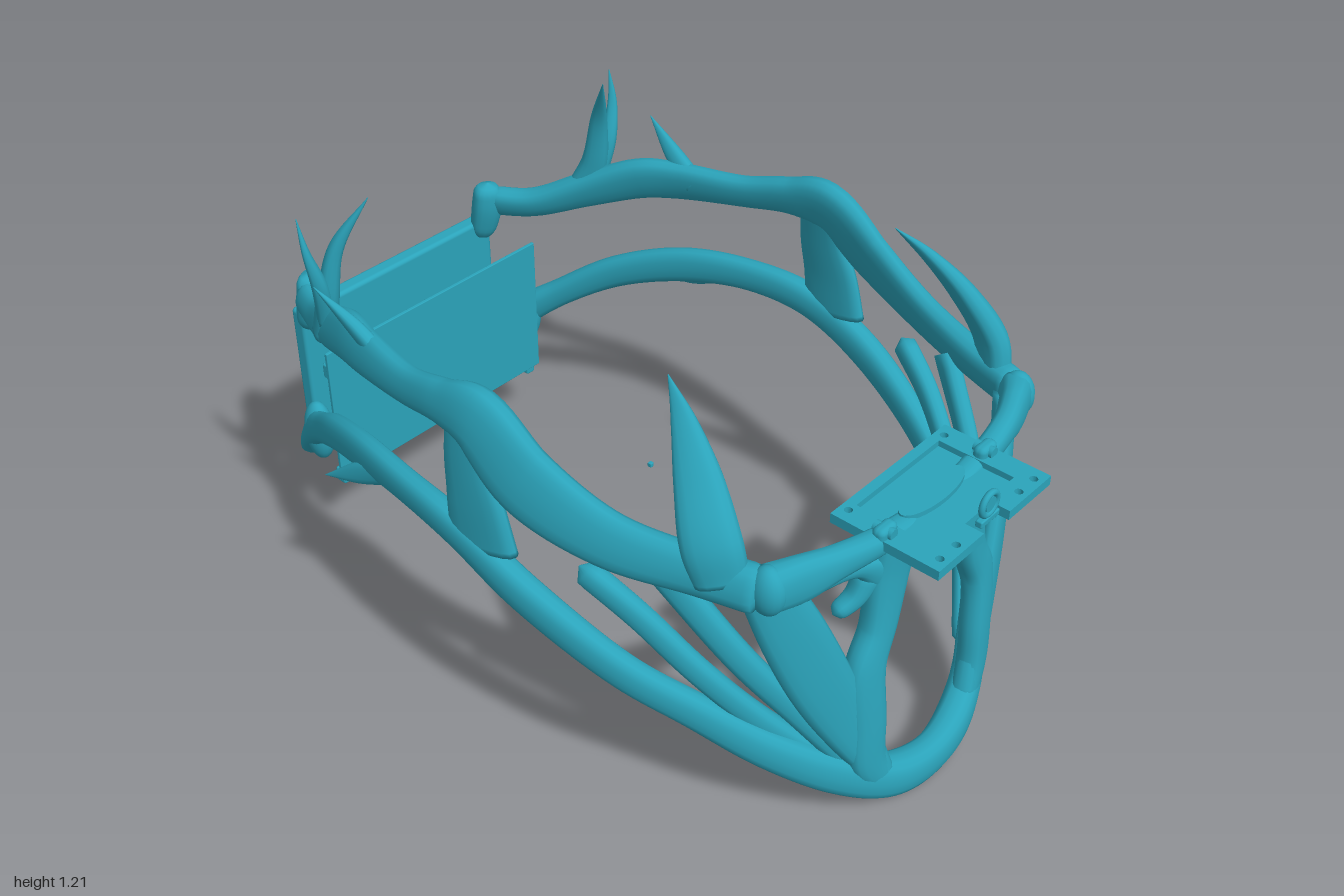
import * as THREE from 'three';
import { RoundedBoxGeometry } from 'three/addons/geometries/RoundedBoxGeometry.js';

const teal = new THREE.MeshStandardMaterial({ color: 0x2ba4bb });
teal.name = 'teal';

// Sweeps a soft oval along a path. Each point is [x, y, z, halfThickness, halfWidth];
// the thickness is measured outward from the middle of the frame, tilt leans the top
// inward and forward turns the broad face towards the front.
function sweep(points, { steps = 8, sides = 16, round = 0, tilt = 0, forward = 0.6 } = {}) {
  const path = new THREE.CatmullRomCurve3(points.map(p => new THREE.Vector3(p[0], p[1], p[2])));
  const size = new THREE.CatmullRomCurve3(points.map((p, i) => new THREE.Vector3(p[3], p[4], i * 0.05)));
  const rings = (points.length - 1) * steps;
  const pos = [], index = [];
  const length = path.getLength();
  for (let i = 0; i <= rings; i++) {
    const u = i / rings;
    const c = path.getPoint(u), t = path.getTangent(u), r = size.getPoint(u);
    const out = new THREE.Vector3(c.x, 0, c.z * forward).normalize();
    out.y = tilt;
    out.addScaledVector(t, -out.dot(t)).normalize();
    const across = t.clone().cross(out);
    const d = Math.min(1, Math.min(u, 1 - u) * length / (round || 1e-6));
    const k = round ? Math.max(0.05, Math.sqrt(1 - (1 - d) ** 2)) : 1;
    for (let j = 0; j < sides; j++) {
      const a = j / sides * Math.PI * 2, ca = Math.cos(a), sa = Math.sin(a);
      const p = c.clone()
        .addScaledVector(out, Math.sign(ca) * Math.abs(ca) ** 0.75 * r.x * k)
        .addScaledVector(across, Math.sign(sa) * Math.abs(sa) ** 0.85 * r.y * k);
      pos.push(p.x, p.y, p.z);
    }
  }
  for (let i = 0; i < rings; i++) for (let j = 0; j < sides; j++) {
    const a = i * sides + j, b = i * sides + (j + 1) % sides;
    index.push(a, b, a + sides, b, b + sides, a + sides);
  }
  // end caps
  for (const [ring, flip] of [[0, true], [rings, false]]) {
    const c = path.getPoint(ring / rings), n = pos.length / 3;
    pos.push(c.x, c.y, c.z);
    for (let j = 0; j < sides; j++) {
      const a = ring * sides + j, b = ring * sides + (j + 1) % sides;
      if (flip) index.push(n, b, a); else index.push(n, a, b);
    }
  }
  const g = new THREE.BufferGeometry();
  g.setAttribute('position', new THREE.Float32BufferAttribute(pos, 3));
  g.setIndex(index);
  g.computeVertexNormals();
  return g;
}

export function createModel() {
  const model = new THREE.Group();
  const add = (name, geometry, x = 0, y = 0, z = 0) => {
    const mesh = new THREE.Mesh(geometry, teal);
    mesh.name = name;
    mesh.position.set(x, y, z);
    model.add(mesh);
    return mesh;
  };
  const box = (name, w, h, d, x, y, z, r = 0.005) =>
    add(name, new RoundedBoxGeometry(w, h, d, 2, r), x, y, z);
  const mirror = (points, s) => points.map(([x, ...rest]) => [x * s, ...rest]);
  const pair = (name, points, options) => {
    for (const s of [1, -1]) add((s > 0 ? 'left ' : 'right ') + name, sweep(mirror(points, s), options));
  };
  const ball = (name, x, y, z, a, b, c) => {
    for (const s of [1, -1]) add(name, new THREE.SphereGeometry(1, 20, 14), s * x, y, z).scale.set(a, b, c);
  };

  // lower rail: one hoop from the back, round the chin and back again
  const lower = [
    [0.13, 0.075, 0.89, 0.043, 0.057], [0.265, 0.148, 0.835, 0.038, 0.055],
    [0.4, 0.255, 0.725, 0.034, 0.05], [0.5, 0.36, 0.59, 0.031, 0.046],
    [0.583, 0.45, 0.44, 0.031, 0.046], [0.643, 0.575, 0.2, 0.034, 0.05],
    [0.648, 0.65, 0, 0.034, 0.047], [0.628, 0.66, -0.2, 0.03, 0.045],
    [0.585, 0.63, -0.4, 0.03, 0.05], [0.52, 0.555, -0.6, 0.03, 0.046],
    [0.45, 0.45, -0.76, 0.03, 0.04], [0.4, 0.37, -0.86, 0.034, 0.045],
    [0.37, 0.285, -0.93, 0.032, 0.035], [0.35, 0.24, -0.965, 0.03, 0.032]];
  add('lower rail', sweep([...mirror(lower, -1).reverse(),
    [0, 0.055, 0.908, 0.04, 0.055], ...lower], { round: 0.03 }));
  ball('rear joint', 0.395, 0.365, -0.855, 0.038, 0.092, 0.046);

  // upper rails with the raised hump beside the middle
  pair('upper rail', [
    [0.475, 0.8, 0.75, 0.04, 0.055], [0.52, 0.8, 0.6, 0.036, 0.055],
    [0.585, 0.815, 0.4, 0.032, 0.068], [0.623, 0.885, 0.2, 0.032, 0.088],
    [0.622, 0.975, 0.06, 0.036, 0.082], [0.615, 0.967, -0.06, 0.034, 0.054],
    [0.597, 0.935, -0.2, 0.03, 0.046], [0.553, 0.912, -0.4, 0.03, 0.058],
    [0.52, 0.895, -0.5, 0.033, 0.062], [0.457, 0.825, -0.66, 0.036, 0.052],
    [0.388, 0.762, -0.8, 0.034, 0.042], [0.335, 0.745, -0.92, 0.032, 0.045]], { round: 0.03, tilt: 0.25 });
  pair('rear stub', [[0.32, 0.81, -0.91, 0.032, 0.036], [0.32, 0.73, -0.92, 0.036, 0.042],
    [0.318, 0.62, -0.95, 0.03, 0.033]], { round: 0.04 });
  pair('side connector', [[0.622, 0.99, 0.03, 0.024, 0.062], [0.637, 0.86, 0.035, 0.024, 0.072],
    [0.646, 0.76, 0.06, 0.024, 0.088], [0.648, 0.65, 0.08, 0.026, 0.1]]);

  // fan of struts rising from the chin
  pair('wide strut', [[0.17, 0.1, 0.885, 0.03, 0.035], [0.27, 0.32, 0.842, 0.028, 0.066],
    [0.34, 0.48, 0.808, 0.028, 0.077], [0.4, 0.64, 0.77, 0.028, 0.075],
    [0.455, 0.8, 0.725, 0.028, 0.06]], { forward: 1 });
  pair('middle strut', [[0.215, 0.13, 0.855, 0.03, 0.03], [0.35, 0.36, 0.765, 0.026, 0.032],
    [0.45, 0.54, 0.67, 0.025, 0.035], [0.535, 0.77, 0.505, 0.026, 0.038]]);
  pair('short strut', [[0.26, 0.16, 0.82, 0.03, 0.03], [0.4, 0.33, 0.695, 0.024, 0.032],
    [0.49, 0.475, 0.585, 0.024, 0.032], [0.552, 0.61, 0.46, 0.025, 0.033],
    [0.598, 0.705, 0.33, 0.027, 0.033]], { round: 0.035 });

  // front posts, brow arms and hooks
  pair('front post', [[0.145, 0.8, 0.84, 0.035, 0.06], [0.155, 0.7, 0.835, 0.035, 0.057],
    [0.18, 0.56, 0.84, 0.034, 0.047], [0.222, 0.46, 0.845, 0.034, 0.053],
    [0.222, 0.3, 0.86, 0.034, 0.053], [0.215, 0.18, 0.868, 0.034, 0.05],
    [0.17, 0.09, 0.885, 0.03, 0.035]], { forward: 1 });
  pair('front arm', [[0.47, 0.8, 0.745, 0.042, 0.058], [0.4, 0.805, 0.78, 0.034, 0.058],
    [0.32, 0.815, 0.81, 0.03, 0.042], [0.2, 0.808, 0.83, 0.03, 0.03], [0.08, 0.795, 0.835, 0.03, 0.025]]);
  pair('arm brace', [[0.17, 0.71, 0.83, 0.03, 0.05], [0.25, 0.765, 0.81, 0.03, 0.027],
    [0.37, 0.775, 0.78, 0.028, 0.03]]);
  pair('hook', [[0.2, 0.73, 0.82, 0.028, 0.035], [0.235, 0.665, 0.81, 0.025, 0.025],
    [0.285, 0.63, 0.79, 0.02, 0.018]], { round: 0.025 });
  box('front crossbar', 0.24, 0.06, 0.05, 0, 0.775, 0.835, 0.015);
  ball('arm joint', 0.468, 0.8, 0.75, 0.038, 0.063, 0.044);

  // curved spikes
  pair('front spike', [[0.51, 0.8, 0.66, 0.034, 0.06], [0.515, 0.89, 0.632, 0.036, 0.068],
    [0.48, 1.0, 0.565, 0.028, 0.054], [0.437, 1.09, 0.485, 0.015, 0.028], [0.4, 1.15, 0.41, 0.001, 0.001]]);
  pair('tall rear spike', [[0.462, 0.81, -0.675, 0.032, 0.05], [0.472, 0.92, -0.635, 0.028, 0.036],
    [0.456, 1.07, -0.6, 0.018, 0.022], [0.4, 1.21, -0.53, 0.001, 0.001]]);
  pair('slim rear spike', [[0.475, 0.86, -0.645, 0.025, 0.034], [0.507, 0.98, -0.615, 0.02, 0.022],
    [0.53, 1.08, -0.62, 0.01, 0.013], [0.535, 1.17, -0.635, 0.001, 0.001]]);
  pair('small upper spike', [[0.555, 0.92, -0.34, 0.02, 0.03], [0.562, 0.975, -0.42, 0.018, 0.025],
    [0.585, 1.05, -0.53, 0.001, 0.001]]);
  pair('lower spike', [[0.607, 0.645, -0.28, 0.022, 0.03], [0.612, 0.585, -0.4, 0.016, 0.028],
    [0.63, 0.525, -0.52, 0.001, 0.001]]);

  // front mounting plate with a sunken tray, notch and screw holes
  const outline = new THREE.Shape([[-0.215, 0.715], [0.215, 0.715], [0.215, 0.998], [0.05, 0.998],
    [0.05, 0.95], [-0.05, 0.95], [-0.05, 0.998], [-0.215, 0.998]].map(p => new THREE.Vector2(...p)));
  for (const s of [1, -1]) for (const [x, z] of [[0.18, 0.737], [0.18, 0.975], [0.12, 0.975]])
    outline.holes.push(new THREE.Path().absarc(s * x, z, 0.01, 0, Math.PI * 2, true));
  outline.holes.push(new THREE.Path([[-0.155, 0.74], [-0.155, 0.94], [0.155, 0.94], [0.155, 0.74]]
    .map(p => new THREE.Vector2(...p))));
  const plate = new THREE.ExtrudeGeometry(outline, { depth: 0.025, bevelEnabled: false, curveSegments: 10 });
  plate.rotateX(Math.PI / 2);
  add('mounting plate', plate, 0, 0.832, 0);
  box('plate tray', 0.312, 0.014, 0.202, 0, 0.81, 0.84, 0.002);
  add('oval boss', new THREE.CylinderGeometry(1, 1, 1, 32), 0, 0.822, 0.83).scale.set(0.115, 0.016, 0.037);
  for (const s of [1, -1]) {
    box('plate clip', 0.062, 0.07, 0.035, s * 0.19, 0.822, 0.84, 0.015);
    const pin = add('clip pin', new THREE.CylinderGeometry(0.014, 0.014, 0.05, 16), s * 0.19, 0.84, 0.84);
    pin.rotation.x = Math.PI / 2;
  }
  box('ring base', 0.07, 0.018, 0.018, 0, 0.832, 0.973, 0.004);
  add('ring', new THREE.TorusGeometry(0.028, 0.008, 10, 28), 0, 0.87, 0.973);
  const core = add('ring core', new THREE.CylinderGeometry(0.019, 0.019, 0.01, 20), 0, 0.87, 0.973);
  core.rotation.x = Math.PI / 2;

  // rear panels and fasteners
  box('rear panel', 0.69, 0.475, 0.048, 0, 0.442, -0.961, 0.012);
  add('rear panel bulge', new THREE.SphereGeometry(1, 28, 14), 0, 0.265, -0.984).scale.set(0.11, 0.04, 0.016);
  box('inner panel', 0.765, 0.42, 0.01, 0, 0.42, -0.803, 0.002);
  for (const s of [1, -1]) for (const y of [0.555, 0.207])
    box('panel fastener', 0.03, 0.045, 0.036, s * 0.355, y, -0.824, 0.006);

  // tiny marker at the centre
  box('centre marker', 0.012, 0.012, 0.012, 0, 0.465, 0, 0.002);
  return model;
}
